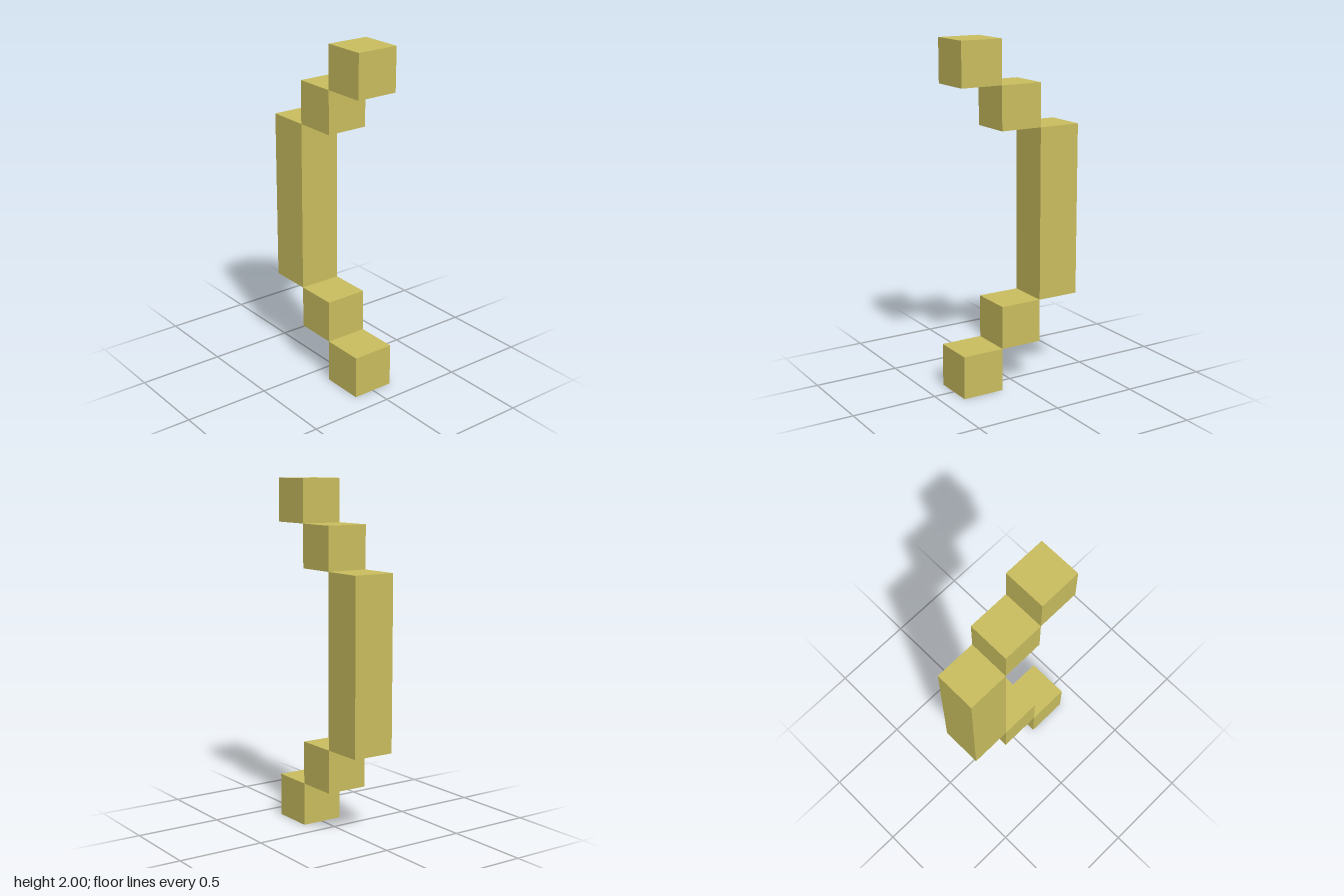
import * as THREE from 'three';

const UNIT = 0.25; // side of one block

export function createModel() {
  const group = new THREE.Group();
  group.name = 'blockBracket';

  const gold = new THREE.MeshStandardMaterial({ color: 0xc9bd5e });
  gold.name = 'dull gold';

  // A block in the given column (-1, 0, 1), from its base, some units tall
  function addBlock(name, column, base, height) {
    const mesh = new THREE.Mesh(new THREE.BoxGeometry(UNIT, height * UNIT, UNIT), gold);
    mesh.name = name;
    mesh.position.set(column * UNIT, (base + height / 2) * UNIT, 0);
    group.add(mesh);
  }

  // Tall spine, with two steps out to the left at each end
  addBlock('spine', -1, 2, 4);
  addBlock('lowerTip', 1, 0, 1);
  addBlock('lowerStep', 0, 1, 1);
  addBlock('upperStep', 0, 6, 1);
  addBlock('upperTip', 1, 7, 1);

  return group;
}
